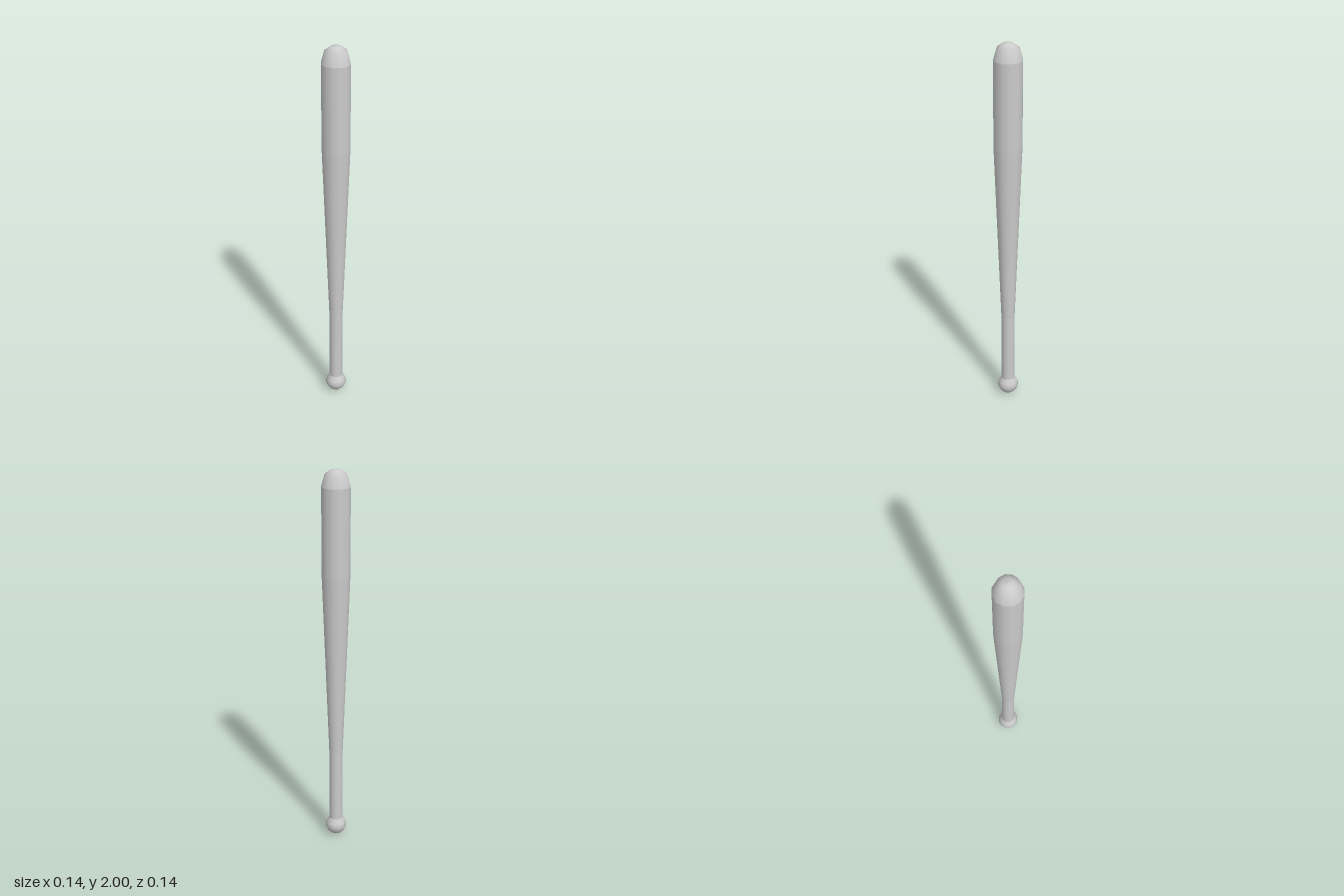
import * as THREE from 'three';

const SIDES = 12;

export function createModel() {
  const group = new THREE.Group();
  const material = new THREE.MeshStandardMaterial({ color: 0xcccccc });

  // Turned part from [radius, height] points, listed bottom to top
  function turned(name, profile) {
    const points = profile.map(([r, y]) => new THREE.Vector2(r, y));
    const mesh = new THREE.Mesh(new THREE.LatheGeometry(points, SIDES), material);
    mesh.name = name;
    group.add(mesh);
  }

  // Rounded knob, flaring from the grip
  turned('knob', [[0, 0], [0.03, 0.012], [0.046, 0.028], [0.057, 0.055], [0.05, 0.077], [0.036, 0.103]]);

  // Straight grip, long taper and cylindrical barrel
  turned('handle', [[0.036, 0.103], [0.036, 0.5]]);
  turned('taper', [[0.036, 0.5], [0.054, 0.985], [0.072, 1.47]]);
  turned('barrel', [[0.072, 1.47], [0.072, 1.915]]);

  // Domed end of the barrel
  turned('barrelEnd', [[0.072, 1.915], [0.055, 1.975], [0.028, 1.995], [0, 2]]);

  return group;
}
